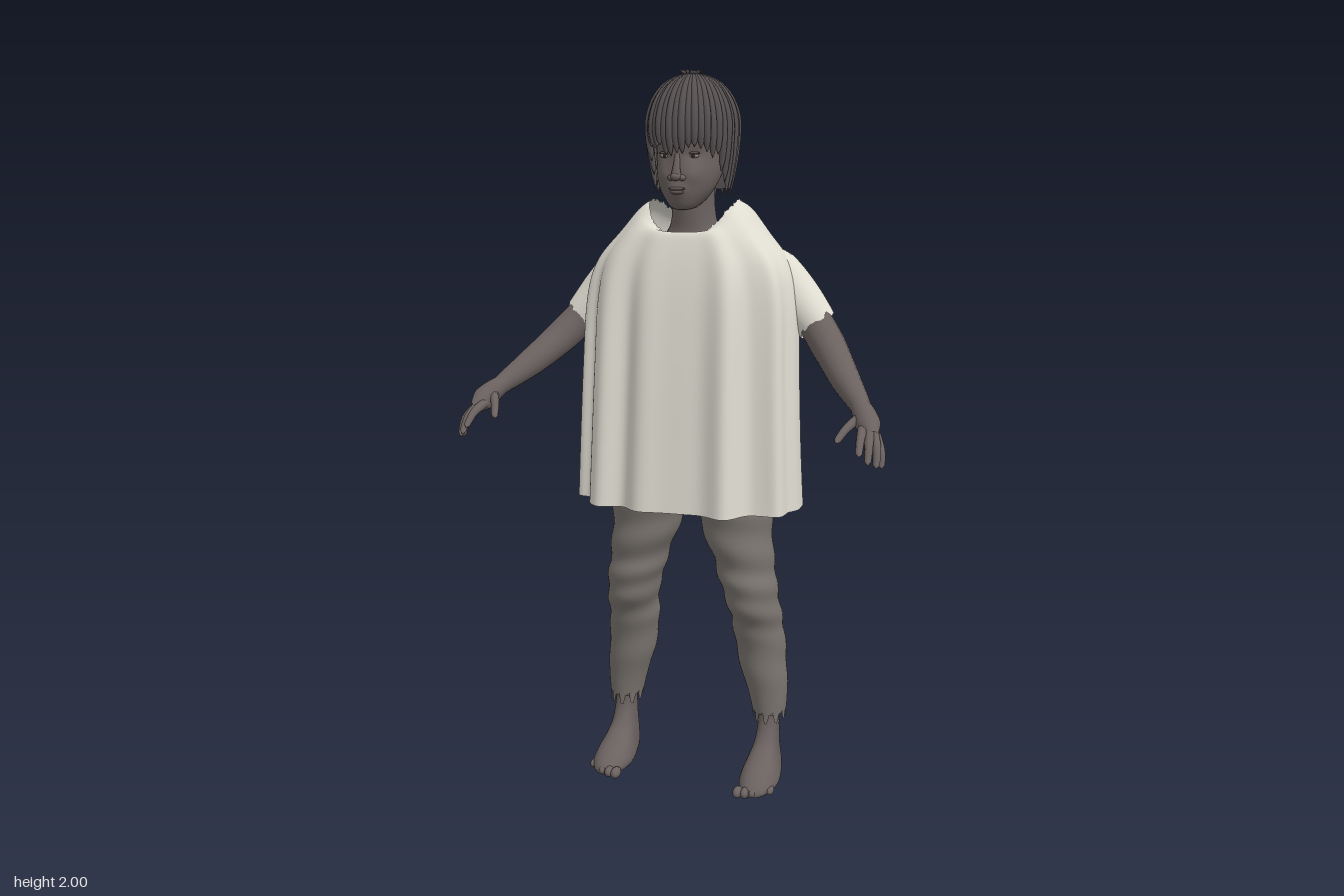
import * as THREE from 'three';

const mat = (name, color, side = THREE.FrontSide) => {
  const m = new THREE.MeshStandardMaterial({ color, side });
  m.name = name;
  return m;
};
const V = (x, y, z) => new THREE.Vector3(x, y, z);
const lerp = THREE.MathUtils.lerp, smooth = THREE.MathUtils.smoothstep;
const noise = i => { const s = Math.sin(i * 12.9898 + 4.1) * 43758.5453; return s - Math.floor(s); };

// Smooth surface through horizontal rings, bottom to top: [y, halfWidth, zFront, zBack, xCentre]
function loft(rings, { n = 32, sub = 4, power = 1, warp } = {}) {
  const pos = [], idx = [], rows = (rings.length - 1) * sub;
  const at = (k, j) => rings[THREE.MathUtils.clamp(k, 0, rings.length - 1)][j] ?? 0;
  for (let r = 0; r <= rows; r++) {
    const k = Math.min(Math.floor(r / sub), rings.length - 2), f = r / sub - k;
    const [y, w, zf, zb, cx] = [0, 1, 2, 3, 4].map(j => {
      const a = at(k - 1, j), b = at(k, j), c = at(k + 1, j), d = at(k + 2, j);
      return b + 0.5 * f * (c - a + f * (2 * a - 5 * b + 4 * c - d + f * (3 * (b - c) + d - a)));
    });
    for (let i = 0; i < n; i++) {
      const a = i / n * Math.PI * 2, s = Math.sin(a), c = Math.cos(a);
      const p = V(Math.sign(s) * Math.abs(s) ** power * w, y,
        (zf + zb) / 2 + Math.sign(c) * Math.abs(c) ** power * (zf - zb) / 2);
      if (warp) warp(p, a, r / rows, i);
      pos.push(p.x + cx, p.y, p.z);
      if (r < rows) {
        const i2 = (i + 1) % n, o = r * n, q = o + n;
        idx.push(o + i, o + i2, q + i2, o + i, q + i2, q + i);
      }
    }
  }
  const g = new THREE.BufferGeometry();
  g.setAttribute('position', new THREE.Float32BufferAttribute(pos, 3));
  g.setIndex(idx);
  g.computeVertexNormals();
  return g;
}

// Tapered tube through points, one radius for each; rag frays the far end
function limb(points, radii, { segs = 16, n = 12, rag = 0 } = {}) {
  const curve = new THREE.CatmullRomCurve3(points);
  const g = new THREE.TubeGeometry(curve, segs, 1, n), P = g.attributes.position;
  for (let i = 0; i <= segs; i++) {
    const c = curve.getPointAt(i / segs);
    const t = curve.getUtoTmapping(i / segs) * (points.length - 1);
    const k = Math.min(Math.floor(t), points.length - 2);
    const r = lerp(radii[k], radii[k + 1], t - k), tan = curve.getTangentAt(i / segs);
    for (let j = 0; j <= n; j++) {
      const v = V().fromBufferAttribute(P, i * (n + 1) + j).sub(c).multiplyScalar(r).add(c);
      if (i === segs) v.addScaledVector(tan, rag * (noise(j % n) - 0.5));
      P.setXYZ(i * (n + 1) + j, v.x, v.y, v.z);
    }
  }
  return g;
}

export function createModel() {
  const root = new THREE.Group();
  const skin = mat('skin', 0x6b6260), hairMat = mat('hair', 0x575152);
  const cloth = mat('cloth', 0xdfdcd1, THREE.DoubleSide);
  const trousers = mat('trousers', 0x7a746f, THREE.DoubleSide);
  const lip = mat('lips', 0x5f5654), eyeWhite = mat('eye white', 0x8d8783), dark = mat('pupil', 0x2b2626);
  const add = (name, geo, m) => {
    const mesh = new THREE.Mesh(geo, m);
    mesh.name = name;
    root.add(mesh);
    return mesh;
  };
  const ball = (name, m, x, y, z, rx, ry, rz) => {
    const b = add(name, new THREE.SphereGeometry(1, 16, 12), m);
    b.position.set(x, y, z);
    b.scale.set(rx, ry, rz);
    return b;
  };

  // Head with full cheeks and shallow eye sockets
  add('head', loft([
    [1.632, 0.002, 0.03, 0.02], [1.638, 0.03, 0.055, -0.02], [1.66, 0.053, 0.068, -0.07],
    [1.69, 0.072, 0.072, -0.1], [1.73, 0.085, 0.073, -0.14], [1.78, 0.089, 0.071, -0.17],
    [1.84, 0.097, 0.076, -0.18], [1.9, 0.09, 0.055, -0.165], [1.95, 0.05, 0, -0.12],
    [1.968, 0.002, -0.058, -0.062]], {
    n: 64, sub: 6, warp: p => {
      if (p.z < 0) return;
      const bump = (x, y, rx, ry) => Math.exp(-(((Math.abs(p.x) - x) / rx) ** 2) - ((p.y - y) / ry) ** 2);
      p.z += 0.008 * bump(0.045, 1.722, 0.022, 0.024) - 0.008 * bump(0.04, 1.775, 0.018, 0.014)
        + 0.007 * bump(0, 1.685, 0.03, 0.016);
    } }), skin);
  // Neck and upper chest
  add('neck', loft([[1.42, 0.17, 0.03, -0.17], [1.5, 0.15, 0.02, -0.17], [1.56, 0.085, 0, -0.15],
    [1.61, 0.06, 0, -0.135], [1.72, 0.056, 0.015, -0.13]], { n: 24 }), skin);

  // Face
  add('noseBridge', limb([V(0, 1.785, 0.064), V(0, 1.75, 0.075), V(0, 1.722, 0.08)], [0.006, 0.009, 0.014]), skin);
  ball('noseTip', skin, 0, 1.721, 0.082, 0.014, 0.011, 0.014);
  ball('upperLip', lip, 0, 1.69, 0.074, 0.023, 0.005, 0.009);
  ball('lowerLip', lip, 0, 1.681, 0.073, 0.019, 0.006, 0.009);
  for (const s of [-1, 1]) {
    ball('nostril', skin, s * 0.015, 1.718, 0.074, 0.01, 0.008, 0.011);
    ball('eye', eyeWhite, s * 0.04, 1.774, 0.052, 0.014, 0.006, 0.008);
    ball('pupil', dark, s * 0.039, 1.774, 0.058, 0.005, 0.005, 0.004);
    ball('upperEyelid', skin, s * 0.04, 1.781, 0.054, 0.017, 0.004, 0.008);
  }

  // Hair: a cap under locks that fan out from the crown
  const cap = add('hairCap', new THREE.SphereGeometry(1, 32, 14, 0, Math.PI * 2, 0, 1.65), hairMat);
  cap.position.set(0, 1.845, -0.06);
  cap.scale.set(0.108, 0.128, 0.134);
  add('hairBack', loft([[1.685, 0.08, -0.05, -0.145], [1.74, 0.1, -0.045, -0.17], [1.85, 0.107, -0.04, -0.19]],
    { n: 28 }), hairMat);
  const locks = 44;
  for (let i = 0; i < locks; i++) {
    const a = i / locks * Math.PI * 2, s = Math.sin(a), c = Math.cos(a), out = 1 + 0.03 * (i % 2);
    const end = lerp(1.67, 1.785, smooth(c, 0.15, 0.75)) + (1 - Math.abs(c)) * 0.015 + (noise(i) - 0.5) * 0.035;
    const pts = [0.06, 0.35, 0.7, 1.05, 1.4].map(t => V(s * Math.sin(t) * 0.113 * out,
      1.845 + Math.cos(t) * 0.138, -0.06 + c * Math.sin(t) * 0.142 * out));
    for (const f of [0.45, 0.8, 1]) {
      const y = lerp(1.865, end, f), tuck = (1 - 0.26 * smooth(1.84 - y, 0, 0.17)) * out;
      pts.push(V(s * 0.114 * lerp(1, tuck, 0.5), y, -0.06 + c * 0.143 * tuck));
    }
    add('hairLock', limb(pts, [0.004, 0.007, 0.0095, 0.0105, 0.011, 0.0105, 0.008, 0.001], { segs: 22, n: 8 }), hairMat);
  }
  for (let i = 0; i < 7; i++) {
    const a = i * 2.4, r = 0.012 + 0.012 * noise(i);
    add('crownTuft', limb([V(0, 1.97, -0.06), V(Math.sin(a) * r, 1.988, -0.06 + Math.cos(a) * r),
      V(Math.sin(a) * r * 1.7, 1.994, -0.06 + Math.cos(a) * r * 1.7)], [0.008, 0.007, 0.001], { segs: 6, n: 7 }), hairMat);
  }

  // Loose tunic with folds that deepen towards the hem
  add('tunic', loft([
    [0.826, 0.318, 0.14, -0.246], [1, 0.31, 0.128, -0.225], [1.2, 0.302, 0.114, -0.218],
    [1.38, 0.294, 0.097, -0.22], [1.48, 0.272, 0.082, -0.224], [1.55, 0.222, 0.065, -0.225],
    [1.6, 0.165, 0.048, -0.217], [1.612, 0.122, 0.036, -0.2]], {
    n: 160, sub: 6, power: 0.8, warp: (p, a, v, i) => {
      const c = Math.cos(a), s = Math.sin(a), depth = 1 - smooth(v, 0.3, 0.95);
      const fold = 0.06 * Math.cos(11 * (a + 0.155)) + 0.035 * Math.sin(7 * a - 0.4) + 0.015 * Math.sin(19 * a);
      const k = fold * (0.12 + 0.88 * depth);
      p.z = -0.05 + (p.z + 0.05) * (1 + k * 1.5);
      p.x *= 1 + k * 0.35;
      p.x *= 1 - 0.2 * smooth(-c, 0.1, 0.6) * smooth(1 - v, 0.1, 0.4);
      const collar = smooth(v, 0.72, 1);
      p.y += collar * (0.042 * s * s - 0.05 * Math.max(c, 0) ** 2 - 0.03 * Math.max(-c, 0) ** 2);
      if (v === 1) p.y += (noise(i) - 0.5) * 0.012;
    } }), cloth);

  for (const s of [-1, 1]) {
    // Sleeve and arm
    add('sleeve', limb([V(s * 0.13, 1.51, -0.1), V(s * 0.22, 1.455, -0.108), V(s * 0.285, 1.39, -0.108), V(s * 0.342, 1.325, -0.1)],
      [0.055, 0.072, 0.066, 0.056], { n: 36, rag: 0.022 }), cloth);
    add('arm', limb([V(s * 0.24, 1.43, -0.1), V(s * 0.325, 1.345, -0.1), V(s * 0.38, 1.28, -0.06),
      V(s * 0.448, 1.205, 0.025), V(s * 0.508, 1.148, 0.1), V(s * 0.525, 1.13, 0.125)],
      [0.048, 0.048, 0.048, 0.04, 0.027, 0.025], { segs: 24, n: 16 }), skin);
    // Hand
    add('palm', limb([V(s * 0.503, 1.152, 0.095), V(s * 0.522, 1.134, 0.125), V(s * 0.54, 1.112, 0.155), V(s * 0.553, 1.09, 0.178)],
      [0.024, 0.03, 0.033, 0.018], { n: 14 }), skin);
    const fingers = [
      [[0.529, 1.105, 0.172], [0.535, 1.087, 0.225], [0.54, 1.053, 0.266]],
      [[0.546, 1.1, 0.172], [0.556, 1.072, 0.22], [0.56, 1.03, 0.25]],
      [[0.556, 1.093, 0.166], [0.573, 1.063, 0.204], [0.577, 1.018, 0.226]],
      [[0.56, 1.087, 0.157], [0.58, 1.052, 0.184], [0.585, 1.012, 0.197]],
      [[0.515, 1.128, 0.14], [0.49, 1.105, 0.185], [0.472, 1.075, 0.226]]];
    fingers.forEach((f, i) => {
      const [a, b, c] = f.map(p => V(s * p[0], p[1], p[2]));
      add(i === 4 ? 'thumb' : 'finger', limb([a, b, b.clone().lerp(c, 0.8), c], [0.014, 0.011, 0.009, 0.001], { segs: 10, n: 8 }), skin);
    });

    // Rumpled trouser leg with a frayed cuff
    add('trouserLeg', loft([
      [0.19, 0.047, -0.047, -0.16, s * 0.222], [0.25, 0.056, -0.04, -0.165, s * 0.217], [0.33, 0.067, -0.027, -0.174, s * 0.204],
      [0.42, 0.072, -0.015, -0.175, s * 0.192], [0.48, 0.072, 0.005, -0.165, s * 0.188], [0.54, 0.074, 0.032, -0.152, s * 0.18],
      [0.6, 0.08, 0.04, -0.148, s * 0.168], [0.66, 0.084, 0.042, -0.15, s * 0.156], [0.74, 0.097, 0.05, -0.155, s * 0.138],
      [0.83, 0.108, 0.055, -0.165, s * 0.122], [0.95, 0.115, 0.055, -0.175, s * 0.11], [1.05, 0.11, 0.045, -0.16, s * 0.1]], {
      n: 40, sub: 5, warp: (p, a, v, i) => {
        const k = 1 + 0.035 * Math.sin(v * 48 + s * a) * smooth(v, 0.05, 0.25);
        p.x *= k;
        p.z = -0.08 + (p.z + 0.08) * k;
        if (v === 0) p.y += (i % 4 < 2 ? -0.018 : 0.024) + (noise(i) - 0.5) * 0.016;
      } }), trousers);

    // Foot and toes
    add('foot', loft([
      [0, 0.001, -0.03, -0.032, s * 0.222], [0.003, 0.043, 0.082, -0.15, s * 0.222], [0.022, 0.056, 0.094, -0.167, s * 0.224],
      [0.05, 0.052, 0.065, -0.165, s * 0.223], [0.08, 0.045, 0.015, -0.16, s * 0.222], [0.115, 0.04, -0.03, -0.153, s * 0.222],
      [0.17, 0.037, -0.055, -0.148, s * 0.222], [0.24, 0.038, -0.056, -0.148, s * 0.219]], {
      n: 32, power: 0.9, warp: p => { p.x *= lerp(0.72, 1.06, smooth(p.z, -0.13, 0.03)); } }), skin);
    for (let i = 0; i < 5; i++)
      ball('toe', skin, s * (0.185 + i * 0.021), 0.017, 0.089 - i * i * 0.0025, 0.014 - i * 0.0009, 0.016 - i * 0.001, 0.023 - i * 0.001);
  }
  return root;
}
